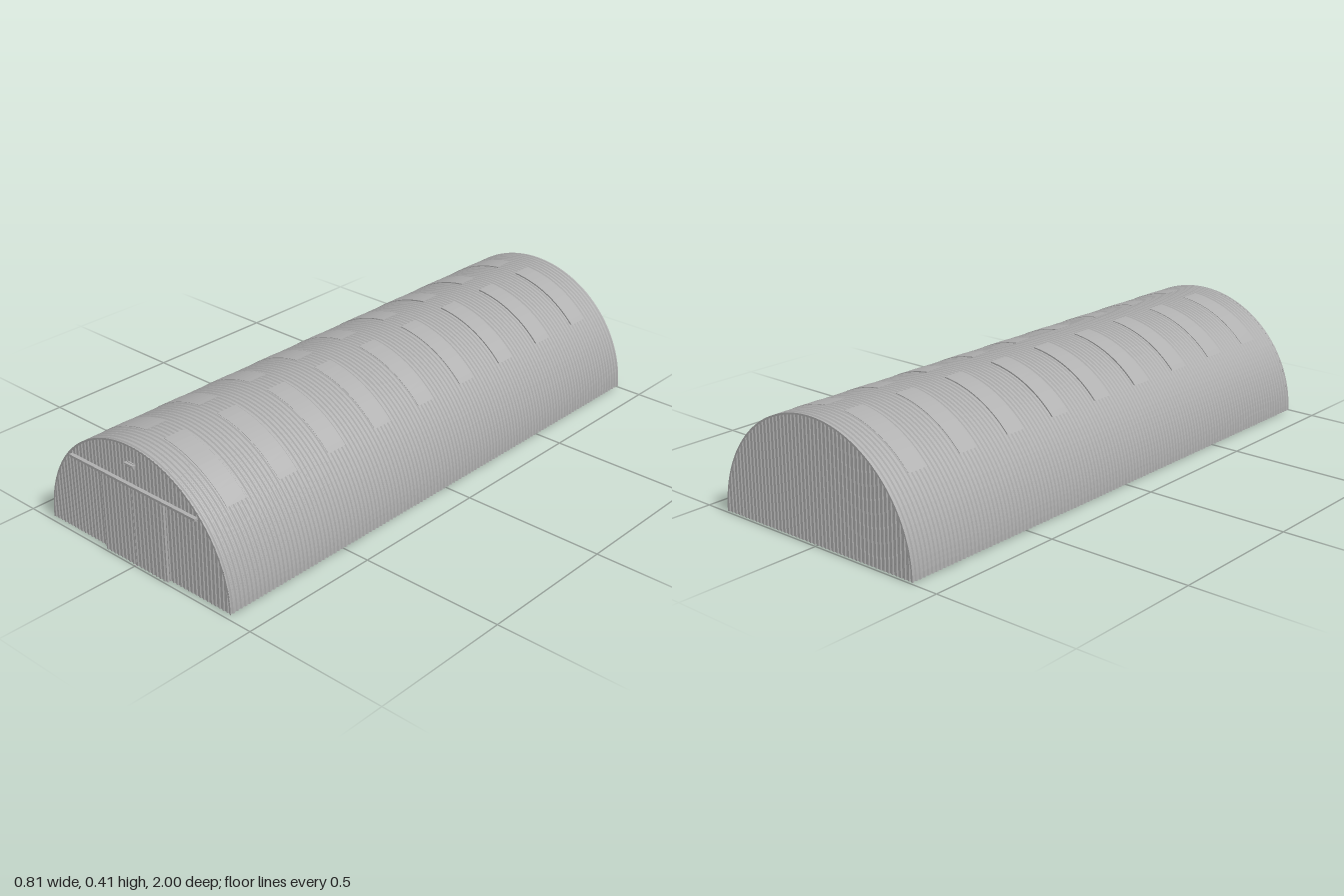
import * as THREE from 'three';

const BASE = 0.005;            // height of the shell's springing line
const R = 0.407;               // outer radius of the shell
const BACK = -1, FRONT = 0.986;
const MID = (BACK + FRONT) / 2;

// trapezoid corrugation: positions along [a, b] with an offset of 0 or -depth
function ribs(a, b, pitch, depth) {
  const count = Math.max(1, Math.round((b - a) / pitch));
  const p = (b - a) / count;
  const out = [];
  for (let i = 0; i < count; i++) {
    const s = a + i * p;
    out.push([s, 0], [s + p * 0.3, 0], [s + p * 0.5, -depth], [s + p * 0.8, -depth]);
  }
  out.push([b, 0]);
  return out;
}

function faceted(geometry) {
  const g = geometry.index ? geometry.toNonIndexed() : geometry;
  g.computeVertexNormals();
  return g;
}

// vertical corrugated sheet facing +z, its top following a height rule
function corrugatedWall(x0, x1, bottom, topAt, pitch, depth) {
  const pos = [], idx = [];
  ribs(x0, x1, pitch, depth).forEach(([x, z], i) => {
    pos.push(x, bottom, z, x, Math.max(bottom, topAt(x)), z);
    if (i > 0) {
      const a = 2 * (i - 1);
      idx.push(a, a + 2, a + 3, a, a + 3, a + 1);
    }
  });
  const g = new THREE.BufferGeometry();
  g.setAttribute('position', new THREE.Float32BufferAttribute(pos, 3));
  g.setIndex(idx);
  return faceted(g);
}

export function createModel() {
  const model = new THREE.Group();
  model.name = 'archedHangar';

  const metal = new THREE.MeshStandardMaterial({ color: 0xb0b0b0, side: THREE.DoubleSide });
  metal.name = 'galvanised grey';

  const add = (name, geometry, x = 0, y = 0, z = 0, parent = model) => {
    const mesh = new THREE.Mesh(geometry, metal);
    mesh.name = name;
    mesh.position.set(x, y, z);
    parent.add(mesh);
    return mesh;
  };
  const box = (name, w, h, d, x, y, z, parent) =>
    add(name, new THREE.BoxGeometry(w, h, d), x, y, z, parent);

  // corrugated half-round shell
  const profile = ribs(BACK, FRONT, 0.0165, 0.004).map(([z, d]) => new THREE.Vector2(R + d, z));
  const shell = new THREE.LatheGeometry(profile, 64, Math.PI / 2, Math.PI);
  shell.rotateX(Math.PI / 2);
  add('corrugatedShell', faceted(shell), 0, BASE, 0);

  // thin rims closing the shell edge at both ends
  const rim = new THREE.RingGeometry(R - 0.006, R, 64, 1, 0, Math.PI);
  add('frontRim', rim, 0, BASE, FRONT);
  add('backRim', rim, 0, BASE, BACK).scale.z = -1;

  // end walls
  const wallR = R - 0.003;
  const arch = (x) => BASE + Math.sqrt(Math.max(0, wallR * wallR - x * x));
  const wall = corrugatedWall(-wallR, wallR, BASE, arch, 0.0165, 0.003);
  add('frontWall', wall, 0, 0, FRONT - 0.001);
  add('backWall', wall, 0, 0, BACK + 0.001).rotation.y = Math.PI;

  // roof lights: curved on top, boxed in underneath
  const lights = new THREE.Group();
  lights.name = 'roofLights';
  model.add(lights);
  const width = 0.076, inner = 0.04, sill = 0.28, lightR = R + 0.001;
  const from = Math.asin((sill - BASE) / lightR), to = Math.acos(inner / lightR);
  for (const side of [1, -1]) {
    const pts = [new THREE.Vector2(side * inner, sill)];
    for (let i = 0; i <= 16; i++) {
      const a = from + (to - from) * i / 16;
      pts.push(new THREE.Vector2(side * lightR * Math.cos(a), BASE + lightR * Math.sin(a)));
    }
    const geometry = new THREE.ExtrudeGeometry(new THREE.Shape(pts), { depth: width, bevelEnabled: false });
    for (let i = -4; i <= 4; i++) {
      add(side > 0 ? 'leftRoofLight' : 'rightRoofLight', geometry, 0, 0, MID + i * 0.2138 - width / 2, lights);
    }
  }

  // pair of sliding doors hung from a rail
  const doors = new THREE.Group();
  doors.name = 'slidingDoors';
  model.add(doors);
  const leaf = corrugatedWall(-0.0695, 0.0695, 0.002, () => 0.276, 0.0165, 0.003);
  for (const side of [1, -1]) {
    const x = 0.004 + side * 0.07;
    add('doorLeaf', leaf, x, 0, 0.995, doors);
    box('doorOuterEdge', 0.002, 0.274, 0.008, x + side * 0.0695, 0.139, 0.991, doors);
    box('doorInnerEdge', 0.002, 0.274, 0.008, x - side * 0.069, 0.139, 0.992, doors);
  }
  box('doorStop', 0.006, 0.004, 0.01, 0.003, 0.002, 0.995, doors);
  box('doorRail', 0.565, 0.008, 0.013, 0.003, 0.28, 0.9925, doors);

  // small lamp above the doors
  const lamp = new THREE.Group();
  lamp.name = 'wallLamp';
  model.add(lamp);
  box('lampPlate', 0.028, 0.018, 0.004, 0.003, 0.349, 0.988, lamp);
  box('lampHood', 0.04, 0.004, 0.012, 0.003, 0.354, 0.993, lamp);
  const tube = new THREE.CylinderGeometry(0.003, 0.003, 0.036, 10);
  tube.rotateZ(Math.PI / 2);
  add('lampTube', tube, 0.003, 0.347, 0.993, lamp);

  return model;
}
